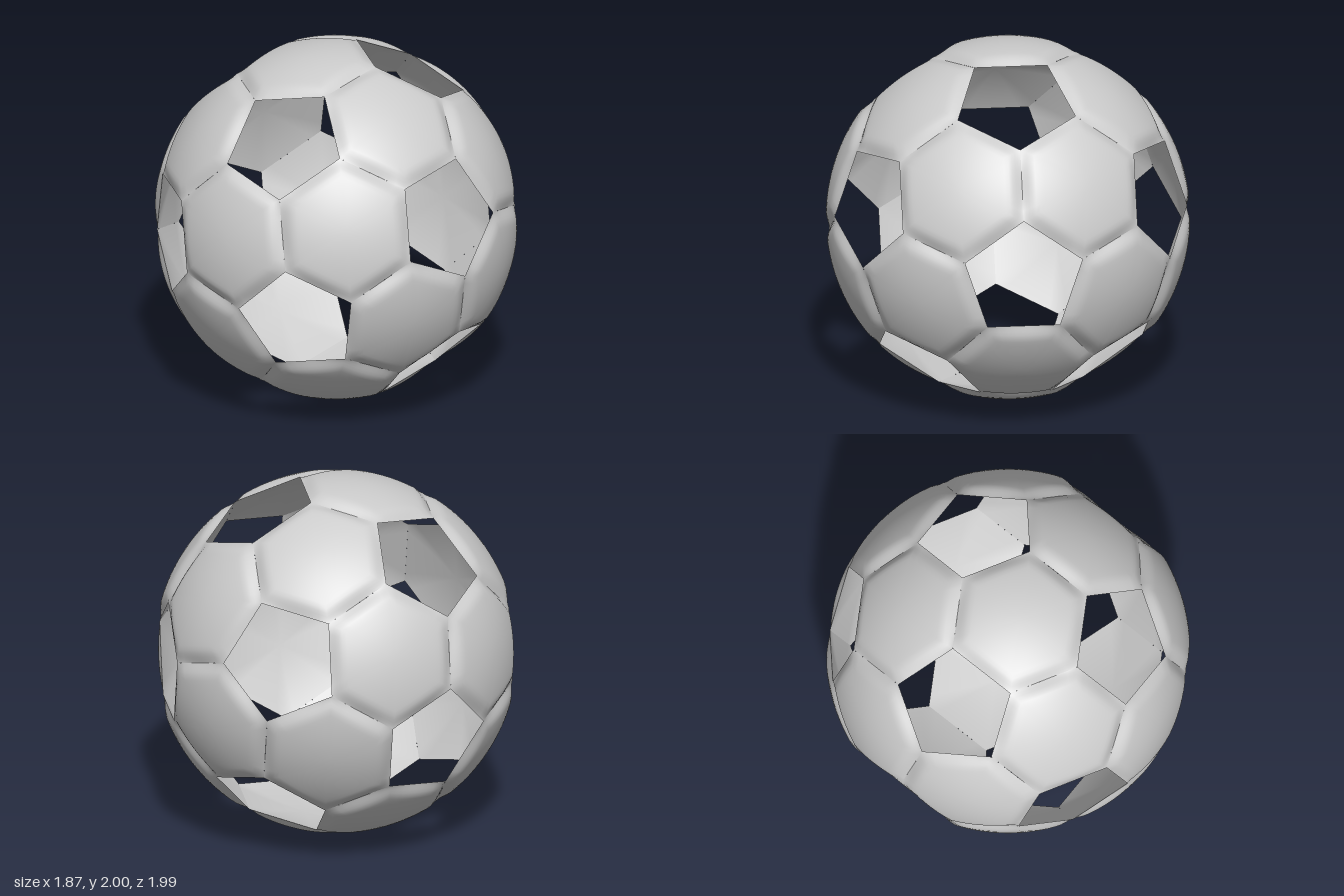
import * as THREE from 'three';
import { mergeGeometries } from 'three/addons/utils/BufferGeometryUtils.js';

const RIM = 0.99;                              // radius at the hexagon corners
const EDGE = RIM * 0.4035;                     // hexagon side
const DEPTH = Math.sqrt(RIM * RIM - EDGE * EDGE); // centre of ball to hexagon plane
const AROUND = 48, RINGS = 14;

// Hexagonal sheet facing +z; radiusAt(flat radius, t) gives its distance from the ball centre
function hexSheet(radiusAt, inward) {
  const pos = [], index = [];
  const add = (t, a) => {
    const sector = a % (Math.PI / 3);
    const reach = t * EDGE * Math.cos(Math.PI / 6) / Math.cos(sector - Math.PI / 6);
    const p = new THREE.Vector3(reach * Math.cos(a), reach * Math.sin(a), DEPTH);
    p.setLength(radiusAt(p.length(), t));
    pos.push(p.x, p.y, p.z);
  };
  const tri = (a, b, c) => (inward ? index.push(a, c, b) : index.push(a, b, c));
  add(0, 0);
  for (let r = 1; r <= RINGS; r++) {
    const t = 1 - Math.pow(1 - r / RINGS, 1.5); // rings crowd towards the rim
    for (let i = 0; i < AROUND; i++) add(t, (i + 1e-6) / AROUND * Math.PI * 2);
  }
  for (let r = 0; r < RINGS; r++) {
    for (let i = 0; i < AROUND; i++) {
      const j = (i + 1) % AROUND;
      const o = 1 + r * AROUND, n = o - AROUND;
      if (r === 0) tri(0, o + i, o + j);
      else {
        tri(n + i, o + i, o + j);
        tri(n + i, o + j, n + j);
      }
    }
  }
  const g = new THREE.BufferGeometry();
  g.setAttribute('position', new THREE.Float32BufferAttribute(pos, 3));
  g.setIndex(index);
  g.computeVertexNormals();
  return g;
}

// Panel: spherical outside rolling down to straight edges, shallower inside
function panelGeometry() {
  const outer = hexSheet((flat, t) => {
    const k = Math.max(0, (t - 0.75) / 0.25);
    return THREE.MathUtils.lerp(1, flat, k * k);
  }, false);
  const inner = hexSheet((flat, t) => flat + 0.04 * (1 - t * t), true);
  return mergeGeometries([outer, inner]);
}

// Icosahedron corners with two of them on the x axis
function corners() {
  const list = [new THREE.Vector3(1, 0, 0), new THREE.Vector3(-1, 0, 0)];
  const x = 1 / Math.sqrt(5);
  for (const s of [1, -1]) {
    for (let k = 0; k < 5; k++) {
      const a = k * Math.PI * 0.4;
      list.push(new THREE.Vector3(s * x, s * 2 * x * Math.cos(a), 2 * x * Math.sin(a)));
    }
  }
  return list;
}

export function createModel() {
  const ball = new THREE.Group();
  ball.name = 'openPanelBall';
  const geometry = panelGeometry();
  const material = new THREE.MeshStandardMaterial({ color: 0xcccccc });
  const v = corners();
  const near = (a, b) => a.dot(b) > 0.4;

  // One hexagonal panel on each icosahedron face; the pentagons stay open
  for (let a = 0; a < 12; a++) for (let b = a + 1; b < 12; b++) for (let c = b + 1; c < 12; c++) {
    if (!near(v[a], v[b]) || !near(v[b], v[c]) || !near(v[a], v[c])) continue;
    const centre = v[a].clone().add(v[b]).add(v[c]).divideScalar(3);
    const xAxis = v[a].clone().multiplyScalar(2).add(v[b]).divideScalar(3).sub(centre).normalize();
    const zAxis = centre.clone().normalize();
    const yAxis = zAxis.clone().cross(xAxis);
    const panel = new THREE.Mesh(geometry, material);
    panel.name = 'hexagonPanel' + (ball.children.length + 1);
    panel.quaternion.setFromRotationMatrix(new THREE.Matrix4().makeBasis(xAxis, yAxis, zAxis));
    panel.position.y = 1;
    ball.add(panel);
  }
  return ball;
}
